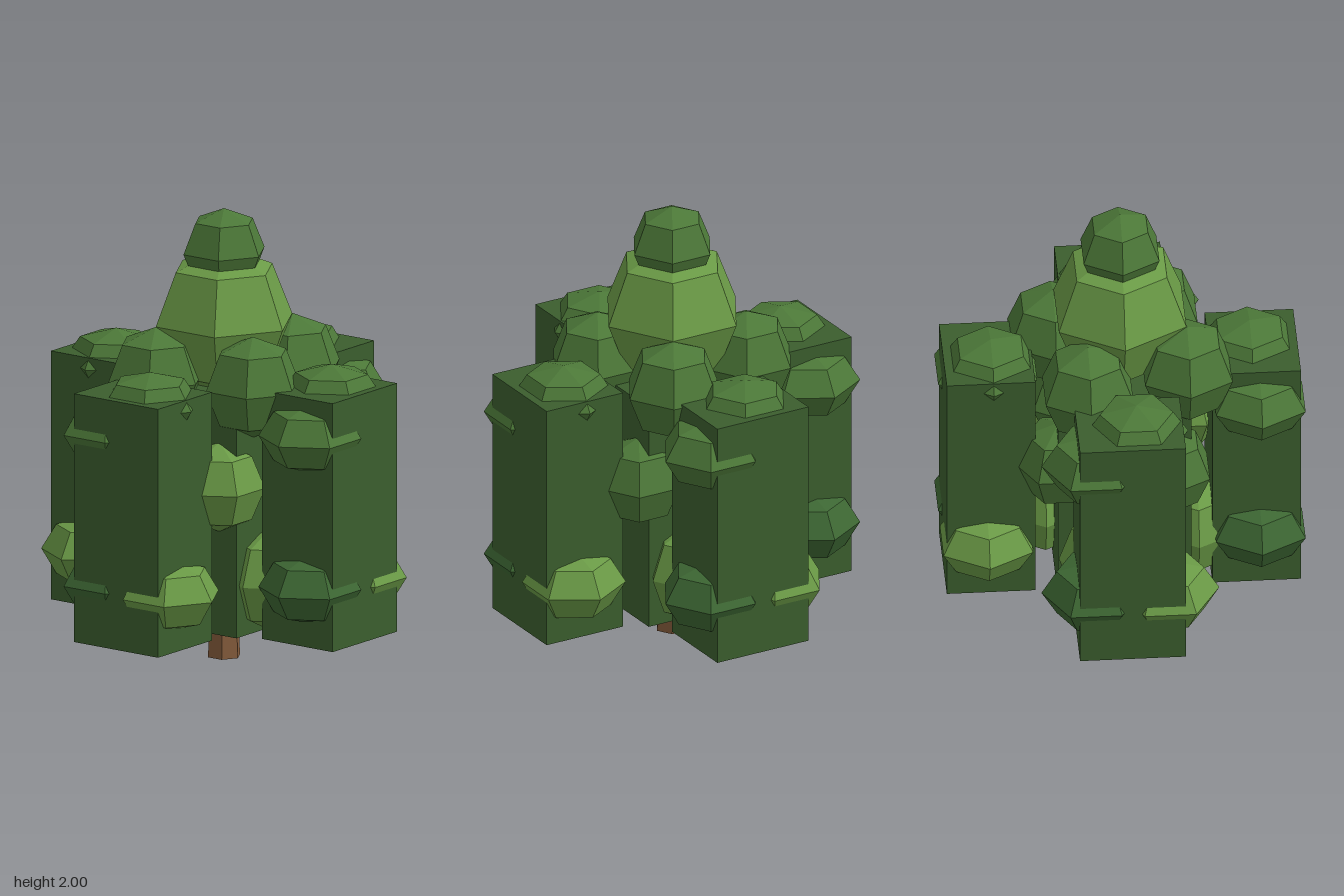
import * as THREE from 'three';

const mat = (color) => new THREE.MeshStandardMaterial({ color, flatShading: true });

export function createModel() {
  const tree = new THREE.Group();
  tree.name = 'tree';
  const bark = mat(0x845c3c), hedge = mat(0x3b5e2e), dark = mat(0x3d6733);
  const medium = mat(0x4c7838), light = mat(0x6a9a46);

  // Six-sided leaf clump with corners pointing along z
  const clumpShape = new THREE.SphereGeometry(1, 6, 4).rotateY(Math.PI / 2);

  function add(parent, name, geometry, material, x, y, z) {
    const mesh = new THREE.Mesh(geometry, material);
    mesh.name = name;
    mesh.position.set(x, y, z);
    parent.add(mesh);
    return mesh;
  }
  function clump(parent, name, material, x, y, z, radius, halfHeight) {
    const mesh = add(parent, name, clumpShape, material, x, y, z);
    mesh.scale.set(radius, halfHeight, radius);
    return mesh;
  }

  // Trunk and central foliage block
  add(tree, 'trunk', new THREE.CylinderGeometry(0.06, 0.075, 0.4, 6), bark, 0, 0.2, 0);
  add(tree, 'centralFoliage', new THREE.BoxGeometry(0.58, 1.04, 0.58), hedge, 0, 0.7, 0);

  // Crown
  clump(tree, 'crownBase', light, 0, 1.5, 0, 0.32, 0.33);
  clump(tree, 'crownTip', medium, 0, 1.81, 0, 0.19, 0.19);

  // Four identical sides, each turned a quarter
  for (let i = 0; i < 4; i++) {
    const side = new THREE.Group();
    side.name = 'foliageSide' + (i + 1);
    side.rotation.y = -i * Math.PI / 2;
    tree.add(side);

    // Outer block with its clumps
    add(side, 'outerFoliage', new THREE.BoxGeometry(0.385, 1.11, 0.46), hedge, 0.577, 0.735, 0);
    clump(side, 'topClump', medium, 0.565, 1.24, -0.03, 0.225, 0.145);
    clump(side, 'upperSideClump', medium, 0.592, 1.1, 0.16, 0.225, 0.153);
    clump(side, 'lowerDarkClump', dark, 0.592, 0.425, 0.16, 0.225, 0.155);
    clump(side, 'lowerLightClump', light, 0.592, 0.415, -0.163, 0.225, 0.155);

    // Inner clumps between the blocks
    clump(side, 'middleClump', i === 1 ? light : medium, 0.19, 0.84, 0.28, 0.2, 0.2);
    clump(side, 'lowInnerClump', light, 0.325, 0.41, 0.1, 0.19, 0.225);

    // Shoulder clump under the crown, kept unturned so its corners stay along z
    const shoulder = clump(side, 'shoulderClump', medium, 0.28, 1.275, 0.16, 0.22, 0.225);
    shoulder.rotation.y = i * Math.PI / 2;
  }
  return tree;
}
